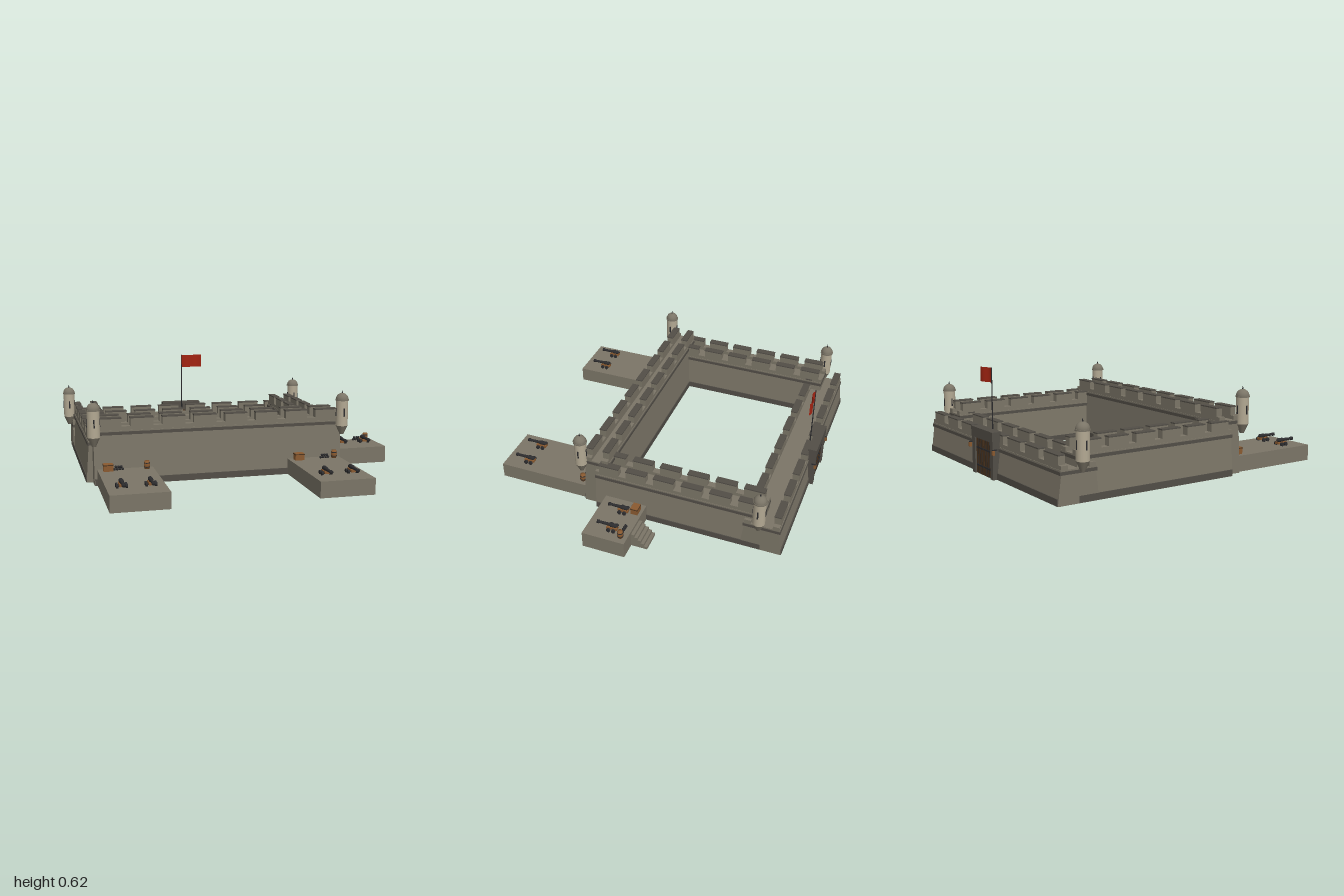
import * as THREE from 'three';

const mat = (name, color, side = THREE.FrontSide) => {
  const m = new THREE.MeshStandardMaterial({ color, side });
  m.name = name;
  return m;
};

export function createModel() {
  const stone = mat('stone', 0x7b7567);
  const darkStone = mat('dark stone', 0x524e47);
  const plaster = mat('pale plaster', 0xb3a993);
  const iron = mat('iron', 0x2c2c2e);
  const wood = mat('wood', 0x8a5a30);
  const darkWood = mat('dark wood', 0x4d3520);
  const cloth = mat('red cloth', 0xa32412, THREE.DoubleSide);

  const model = new THREE.Group();
  model.name = 'fortress';
  const CX = -0.14; // centre line of the fort

  const group = (name, parent, x = 0, y = 0, z = 0) => {
    const g = new THREE.Group();
    g.name = name;
    g.position.set(x, y, z);
    parent.add(g);
    return g;
  };
  const add = (parent, name, geo, material, x = 0, y = 0, z = 0) => {
    const m = new THREE.Mesh(geo, material);
    m.name = name;
    m.position.set(x, y, z);
    parent.add(m);
    return m;
  };
  // Box given by its size and the centre of its underside
  const box = (parent, name, w, h, d, material, x = 0, y = 0, z = 0) =>
    add(parent, name, new THREE.BoxGeometry(w, h, d), material, x, y + h / 2, z);

  // Battered wall along local x, with plinth, cordon and two crenellated parapets
  function wall(name, length, height, topHalf, baseHalf, cells) {
    const g = group(name, model);
    const bodyTop = height - 0.026;
    const profile = new THREE.Shape([
      new THREE.Vector2(-baseHalf, 0), new THREE.Vector2(baseHalf, 0),
      new THREE.Vector2(topHalf, bodyTop), new THREE.Vector2(-topHalf, bodyTop),
    ]);
    const body = new THREE.ExtrudeGeometry(profile, { depth: length, bevelEnabled: false });
    body.translate(0, 0, -length / 2).rotateY(Math.PI / 2);
    add(g, 'wallBody', body, stone);
    box(g, 'plinth', length - 0.006, 0.038, baseHalf * 2 + 0.004, darkStone, 0, 0.001);
    box(g, 'cordon', length + 0.004, 0.018, topHalf * 2 + 0.014, darkStone, 0, bodyTop);
    box(g, 'walkway', length, 0.008, topHalf * 2 + 0.006, stone, 0, height - 0.008);
    const pitch = length / cells;
    for (const s of [-1, 1]) {
      const z = s * (topHalf - 0.02);
      box(g, 'parapet', length, 0.022, 0.04, stone, 0, height, z);
      for (let i = 0; i < cells; i++) {
        const x = (i + 0.5) * pitch - length / 2;
        box(g, 'merlon', pitch * 0.72, 0.046, 0.04, stone, x, height + 0.022, z);
        box(g, 'merlonCap', pitch * 0.72 + 0.002, 0.007, 0.043, darkStone, x, height + 0.068, z);
      }
    }
    return g;
  }
  wall('frontWall', 1.53, 0.322, 0.073, 0.091, 8).position.set(CX, 0, 0.265);
  wall('backWall', 1.61, 0.186, 0.105, 0.125, 8).position.set(CX, 0, -0.78);
  for (const s of [-1, 1]) {
    const w = wall(s > 0 ? 'leftWall' : 'rightWall', 1.045, 0.25, 0.076, 0.093, 6);
    w.position.set(CX + s * 0.711, 0, -0.2575);
    w.rotation.y = Math.PI / 2;
  }

  // Corner sentry turrets
  function turret(x, y, z) {
    const g = group('turret', model, x, y, z);
    add(g, 'corbel', new THREE.CylinderGeometry(0.037, 0.012, 0.055, 16), stone, 0, 0.0275, 0);
    add(g, 'turretBody', new THREE.CylinderGeometry(0.037, 0.037, 0.158, 16), plaster, 0, 0.134, 0);
    add(g, 'eave', new THREE.CylinderGeometry(0.042, 0.042, 0.008, 16), stone, 0, 0.216, 0);
    add(g, 'dome', new THREE.SphereGeometry(0.039, 16, 8, 0, Math.PI * 2, 0, Math.PI / 2), stone, 0, 0.219, 0);
    add(g, 'finial', new THREE.ConeGeometry(0.005, 0.022, 8), iron, 0, 0.267, 0);
    for (let i = 0; i < 4; i++) {
      const a = i * Math.PI / 2;
      const slit = box(g, 'slit', 0.008, 0.05, 0.004, iron, Math.sin(a) * 0.037, 0.115, Math.cos(a) * 0.037);
      slit.rotation.y = a;
    }
  }
  for (const s of [-1, 1]) {
    turret(CX + s * 0.765, 0.237, 0.365);
    turret(CX + s * 0.82, 0.17, -0.765);
  }

  // Field gun, muzzle toward +z
  function cannon(parent, x, z) {
    const g = group('cannon', parent, x, 0, z);
    box(g, 'carriage', 0.03, 0.014, 0.066, wood, 0, 0.01, -0.03);
    for (const az of [-0.045, -0.014]) {
      for (const s of [-1, 1]) {
        const wheel = new THREE.CylinderGeometry(0.012, 0.012, 0.012, 12).rotateZ(Math.PI / 2);
        add(g, 'wheel', wheel, iron, s * 0.026, 0.012, az);
      }
      const axle = new THREE.CylinderGeometry(0.004, 0.004, 0.05, 8).rotateZ(Math.PI / 2);
      add(g, 'axle', axle, iron, 0, 0.012, az);
    }
    const outline = [[0, -0.067], [0.005, -0.065], [0.005, -0.058], [0.013, -0.055], [0.013, -0.02],
      [0.01, -0.018], [0.008, 0.05], [0.011, 0.054], [0.011, 0.065], [0, 0.065]];
    const barrel = new THREE.LatheGeometry(outline.map(p => new THREE.Vector2(...p)), 12).rotateX(Math.PI / 2);
    add(g, 'gunBarrel', barrel, iron, 0, 0.034, 0);
  }

  // Stores: crate, stacked shot and powder barrel
  function stores(parent, crateX, shotX, kegX, z) {
    box(parent, 'crate', 0.056, 0.042, 0.044, wood, crateX, 0, z);
    box(parent, 'crateLid', 0.06, 0.005, 0.048, darkWood, crateX, 0.034, z);
    for (let row = 0; row < 2; row++) {
      for (let i = 0; i < 4 - row; i++) {
        add(parent, 'shot', new THREE.SphereGeometry(0.008, 10, 8), iron,
          shotX + (i - (3 - row) / 2) * 0.016, 0.008 + row * 0.0135, z);
      }
    }
    const staves = [[0, 0], [0.015, 0], [0.019, 0.024], [0.015, 0.048], [0, 0.048]];
    add(parent, 'keg', new THREE.LatheGeometry(staves.map(p => new THREE.Vector2(...p)), 14), wood, kegX, 0, z);
    for (const y of [0.012, 0.036]) {
      add(parent, 'kegHoop', new THREE.CylinderGeometry(0.0185, 0.0185, 0.005, 14), iron, kegX, y, z);
    }
  }

  // Two front batteries
  for (const [x, shotX] of [[-0.724, -0.045], [0.444, 0.06]]) {
    box(model, 'frontBattery', 0.328, 0.096, 0.62, stone, x, 0, 0.63);
    const g = group('frontBatteryGuns', model, x, 0.096, 0);
    cannon(g, -0.08, 0.817);
    cannon(g, 0.08, 0.817);
    stores(g, -0.106, shotX, 0.122, 0.395);
  }

  // Side battery with steps
  box(model, 'sideBattery', 0.36, 0.104, 0.264, stone, 0.82, 0, 0.066);
  const sideGuns = group('sideBatteryGuns', model, 0.83, 0.104, 0);
  cannon(sideGuns, -0.08, 0.072);
  cannon(sideGuns, 0.08, 0.072);
  stores(sideGuns, -0.106, 0.06, 0.122, -0.025);
  for (let i = 0; i < 5; i++) {
    box(model, 'step', 0.128, 0.086 - i * 0.0172, 0.02, stone, 0.831, 0, -0.076 - i * 0.02);
  }

  // Rear gate
  const gate = group('gate', model, CX, 0, -0.905);
  for (const s of [-1, 1]) {
    box(gate, 'gatePillar', 0.035, 0.23, 0.05, darkStone, s * 0.115, 0, 0);
    box(gate, 'doorLeaf', 0.095, 0.215, 0.03, darkWood, s * 0.0485, 0, 0);
    for (let i = 0; i < 3; i++) {
      box(gate, 'plankSeam', 0.003, 0.215, 0.003, iron, s * (0.024 + i * 0.024), 0, -0.015);
    }
    for (const y of [0.045, 0.15]) box(gate, 'doorBand', 0.09, 0.01, 0.005, iron, s * 0.0485, y, -0.0155);
    // Wall lanterns beside the gate
    box(gate, 'lanternBracket', 0.006, 0.006, 0.03, iron, s * 0.15, 0.174, -0.02);
    box(gate, 'lantern', 0.014, 0.026, 0.014, wood, s * 0.15, 0.148, -0.03);
  }
  box(gate, 'lintel', 0.272, 0.06, 0.056, darkStone, 0, 0.215, 0);

  // Flag on the rear parapet
  add(model, 'flagPole', new THREE.CylinderGeometry(0.003, 0.004, 0.44, 8), iron, CX, 0.405, -0.861);
  const flag = new THREE.PlaneGeometry(0.145, 0.086, 16, 1).translate(0.0725, 0, 0);
  const pos = flag.attributes.position;
  for (let i = 0; i < pos.count; i++) pos.setZ(i, 0.011 * Math.sin(pos.getX(i) / 0.145 * Math.PI * 2));
  flag.computeVertexNormals();
  add(model, 'flag', flag, cloth, CX, 0.577, -0.861);

  return model;
}
